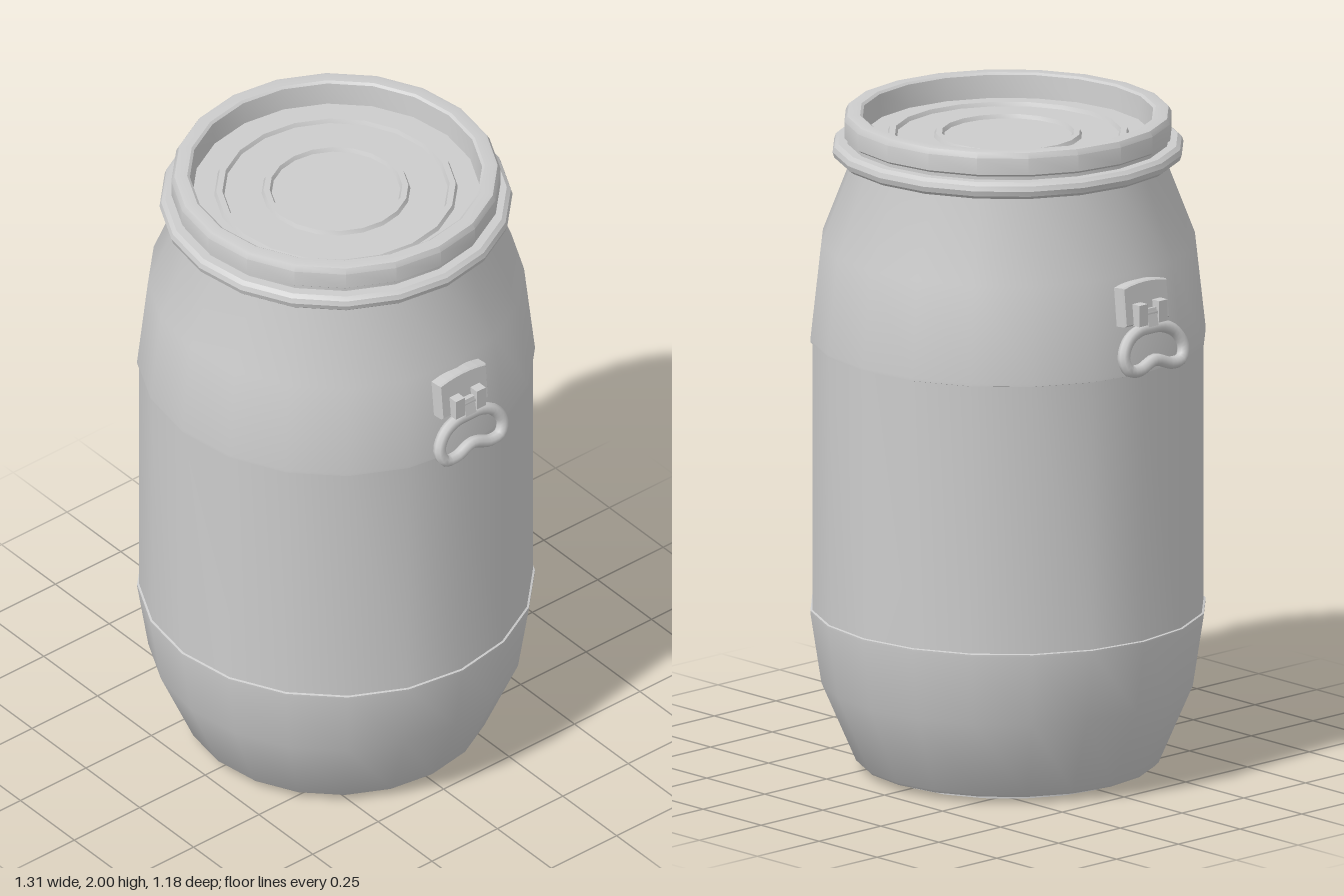
import * as THREE from 'three';
import { toCreasedNormals } from 'three/addons/utils/BufferGeometryUtils.js';

const SIDES = 20;
const material = new THREE.MeshStandardMaterial({ color: 0xcccccc, side: THREE.DoubleSide });

function part(name, geometry, parent) {
  const mesh = new THREE.Mesh(geometry, material);
  mesh.name = name;
  parent.add(mesh);
  return mesh;
}

// Turned part: the profile is a list of [radius, height]
function turned(name, profile, parent) {
  const points = profile.map(([r, y]) => new THREE.Vector2(r, y));
  return part(name, toCreasedNormals(new THREE.LatheGeometry(points, SIDES), 0.55), parent);
}

function box(name, size, position, parent) {
  const mesh = part(name, new THREE.BoxGeometry(...size), parent);
  mesh.position.set(...position);
  return mesh;
}

// Hinged carrying handle on the +x side
function createHandle(name) {
  const handle = new THREE.Group();
  handle.name = name;

  // Mounting plate with a slightly arched top, following the shoulder slope
  const outline = new THREE.Shape();
  outline.moveTo(-0.085, -0.06);
  outline.lineTo(0.085, -0.06);
  outline.lineTo(0.085, 0.05);
  outline.quadraticCurveTo(0, 0.07, -0.085, 0.05);
  outline.closePath();
  const plateGeometry = new THREE.ExtrudeGeometry(outline, {
    depth: 0.035, bevelEnabled: true, bevelThickness: 0.005, bevelSize: 0.004, bevelSegments: 1, curveSegments: 6,
  });
  plateGeometry.rotateY(Math.PI / 2);
  const plate = part('mountingPlate', plateGeometry, handle);
  plate.position.set(0.557, 1.53, 0);
  plate.rotation.z = 0.1;

  // Hinge knuckles, pin and the strap that holds the grip
  for (const z of [-0.04, 0.04]) box('hingeKnuckle', [0.04, 0.065, 0.034], [0.607, 1.503, z], handle);
  const pin = part('hingePin', new THREE.CylinderGeometry(0.014, 0.014, 0.11, 8), handle);
  pin.rotation.x = Math.PI / 2;
  pin.position.set(0.608, 1.502, 0);
  const strap = box('gripStrap', [0.028, 0.06, 0.04], [0.61, 1.485, 0], handle);
  strap.rotation.z = 0.2;

  // Bean-shaped grip, hanging outwards; half outline as [z, y], mirrored
  const half = [[0.05, 1.453], [0.095, 1.43], [0.12, 1.385], [0.105, 1.348], [0.065, 1.342]];
  const loop = [[0, 1.456], ...half, [0, 1.362], ...half.map(([z, y]) => [-z, y]).reverse()];
  const path = new THREE.CatmullRomCurve3(
    loop.map(([z, y]) => new THREE.Vector3(0.636 - (y - 1.34) * 0.2, y, z)), true);
  part('grip', new THREE.TubeGeometry(path, 40, 0.019, 8, true), handle);
  return handle;
}

export function createModel() {
  const drum = new THREE.Group();
  drum.name = 'drum';

  // Body with a foot ring, tapered base, straight middle and tapered shoulder
  turned('body', [
    [0, 0.014], [0.355, 0.014], [0.362, 0], [0.385, 0], [0.385, 0.02], [0.442, 0.02], [0.452, 0.03],
    [0.555, 0.27], [0.588, 0.485], [0.588, 0.492], [0.582, 0.494],
    [0.582, 1.31], [0.588, 1.312], [0.588, 1.32], [0.556, 1.61], [0.456, 1.87], [0.456, 1.9],
  ], drum);

  // Rounded clamping ring below the lid
  turned('clampRing', [
    [0.45, 1.864], [0.505, 1.864], [0.517, 1.874], [0.522, 1.89], [0.517, 1.905], [0.505, 1.915], [0.45, 1.915],
  ], drum);

  // Lid: raised rim around a sunken panel with two raised rings
  const panel = 1.925;
  const rib = (r) => [[r + 0.03, panel], [r + 0.024, panel + 0.012], [r + 0.006, panel + 0.012], [r, panel]];
  turned('lid', [
    [0.46, 1.905], [0.478, 1.91], [0.478, 1.925], [0.487, 1.932], [0.487, 1.982], [0.478, 1.998], [0.47, 2],
    [0.44, 2], [0.432, 1.994], [0.425, panel], ...rib(0.33), ...rib(0.19), [0, panel],
  ], drum);

  // A handle on each side
  const left = createHandle('leftHandle');
  const right = createHandle('rightHandle');
  right.rotation.y = Math.PI;
  drum.add(left, right);
  return drum;
}
